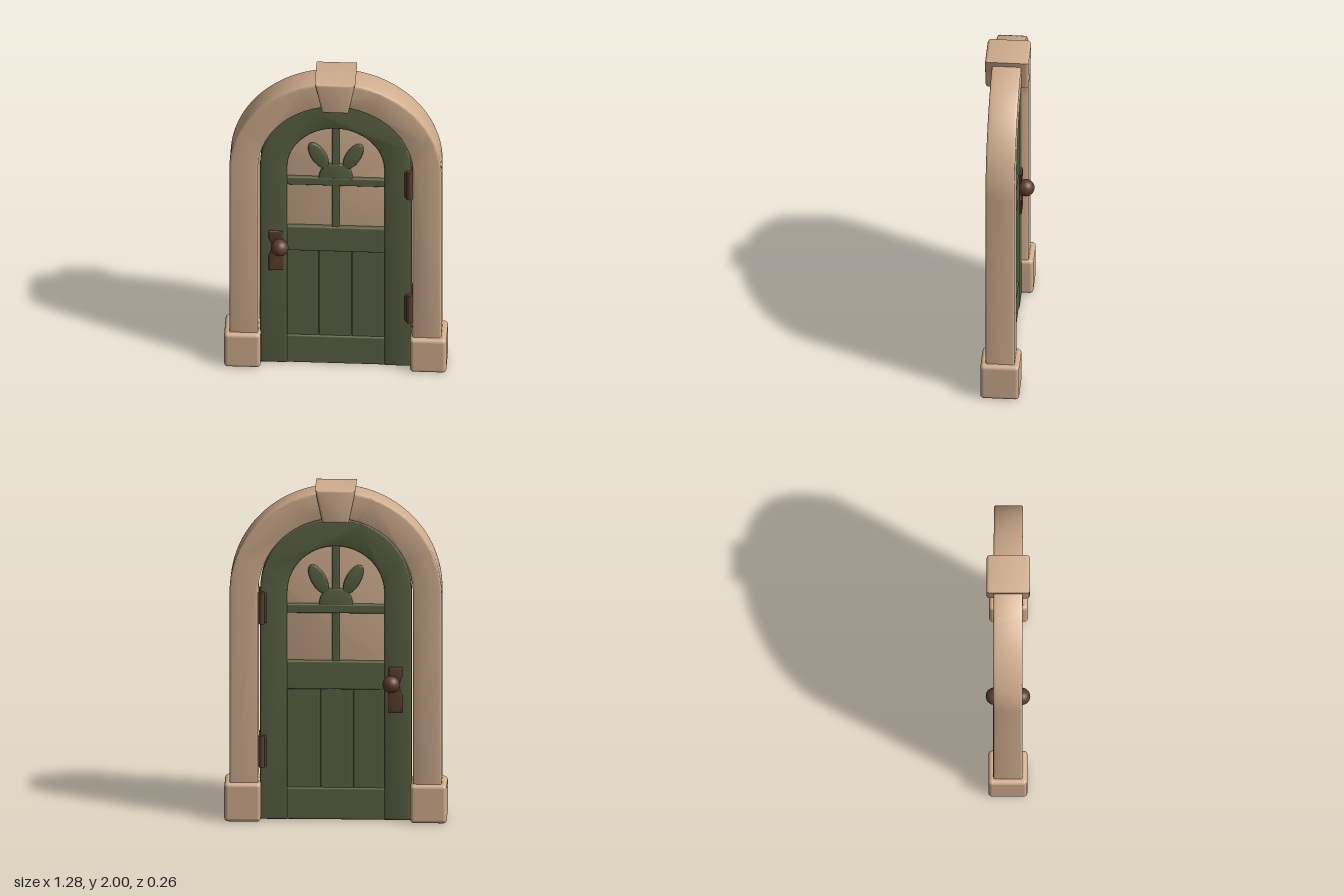
import * as THREE from 'three';
import { toCreasedNormals } from 'three/addons/utils/BufferGeometryUtils.js';
import { RoundedBoxGeometry } from 'three/addons/geometries/RoundedBoxGeometry.js';

const mat = (name, color) => {
  const m = new THREE.MeshStandardMaterial({ color });
  m.name = name;
  return m;
};

export function createModel() {
  const stone = mat('sandstone', 0xd0ad8e);
  const green = mat('green paint', 0x5a6243);
  const brown = mat('brown iron', 0x5c3d2e);
  const door = new THREE.Group();
  door.name = 'archedDoor';

  const add = (name, geometry, material, x = 0, y = 0, z = 0) => {
    const mesh = new THREE.Mesh(geometry, material);
    mesh.name = name;
    mesh.position.set(x, y, z);
    door.add(mesh);
    return mesh;
  };

  // Bevelled extrusion centred on z = 0 that keeps the drawn outline
  const slab = (shape, depth, bevel) => {
    const g = new THREE.ExtrudeGeometry(shape, {
      depth: depth - 2 * bevel, bevelThickness: bevel, bevelSize: bevel,
      bevelOffset: -bevel, bevelSegments: 3, curveSegments: 32,
    });
    g.translate(0, 0, -(depth / 2 - bevel));
    return toCreasedNormals(g, 0.6);
  };

  const box = (name, material, x0, x1, y0, y1, depth, r, z = 0) =>
    add(name, new RoundedBoxGeometry(x1 - x0, y1 - y0, depth, 3, r), material,
      (x0 + x1) / 2, (y0 + y1) / 2, z);

  // Upside-down U between an outer and an inner arch
  const archBand = (outer, inner, y0, outerY, innerY) => {
    const s = new THREE.Shape();
    s.moveTo(outer, y0);
    s.lineTo(outer, outerY);
    s.absarc(0, outerY, outer, 0, Math.PI, false);
    s.lineTo(-outer, y0);
    s.lineTo(-inner, y0);
    s.lineTo(-inner, innerY);
    s.absarc(0, innerY, inner, Math.PI, 0, true);
    s.lineTo(inner, y0);
    return s;
  };

  // Stone surround
  add('stoneArch', slab(archBand(0.61, 0.445, 0.05, 1.37, 1.37), 0.168, 0.012), stone);
  for (const side of [-1, 1]) {
    add('baseBlock', new RoundedBoxGeometry(0.21, 0.23, 0.224, 4, 0.022), stone, side * 0.535, 0.115, 0);
  }
  const key = new THREE.Shape([[-0.075, 1.8], [0.075, 1.8], [0.117, 2], [-0.117, 2]]
    .map(([x, y]) => new THREE.Vector2(x, y)));
  add('keystone', slab(key, 0.25, 0.018), stone);

  // Door leaf: arched stile, rails and recessed planks
  add('doorStile', slab(archBand(0.435, 0.28, 0, 1.375, 1.36), 0.09, 0.01), green);
  box('bottomRail', green, -0.285, 0.285, 0, 0.19, 0.08, 0.01);
  box('lockRail', green, -0.285, 0.285, 0.78, 0.95, 0.08, 0.01);
  const seams = [-0.285, -0.1, 0.09, 0.285];
  for (let i = 0; i < 3; i++) {
    box('plank', green, seams[i] + 0.002, seams[i + 1] - 0.002, 0.17, 0.8, 0.056, 0.009);
  }
  box('plankCore', green, -0.285, 0.285, 0.17, 0.8, 0.036, 0.002);

  // Window pane and glazing bars
  const pane = new THREE.Shape();
  pane.moveTo(-0.29, 0.93);
  pane.lineTo(0.29, 0.93);
  pane.lineTo(0.29, 1.36);
  pane.absarc(0, 1.36, 0.29, 0, Math.PI, false);
  add('windowPane', slab(pane, 0.03, 0.002), stone);
  box('windowCrossbar', green, -0.285, 0.285, 1.235, 1.29, 0.07, 0.01);
  box('windowBar', green, -0.022, 0.022, 0.94, 1.65, 0.062, 0.008);

  // Leaf ornament above the crossbar
  const bud = new THREE.Shape();
  bud.moveTo(-0.1, 1.26);
  bud.lineTo(0.1, 1.26);
  bud.quadraticCurveTo(0.1, 1.33, 0.065, 1.37);
  bud.quadraticCurveTo(0, 1.4, -0.065, 1.37);
  bud.quadraticCurveTo(-0.1, 1.33, -0.1, 1.26);
  add('ornamentBud', slab(bud, 0.066, 0.008), green);
  for (const side of [-1, 1]) {
    const leaf = new THREE.Shape();
    leaf.absellipse(0, 0, 0.043, 0.095, 0, Math.PI * 2, false, 0);
    const mesh = add('ornamentLeaf', slab(leaf, 0.066, 0.008), green, side * 0.1, 1.437, 0);
    mesh.rotation.z = -side * 0.5;
  }

  // Lock plate with a waist
  const plate = new THREE.Shape();
  plate.moveTo(-0.385, 0.65);
  plate.lineTo(-0.3, 0.65);
  plate.lineTo(-0.3, 0.75);
  plate.quadraticCurveTo(-0.33, 0.79, -0.305, 0.83);
  plate.lineTo(-0.305, 0.92);
  plate.lineTo(-0.385, 0.92);
  plate.lineTo(-0.385, 0.87);
  plate.quadraticCurveTo(-0.35, 0.81, -0.385, 0.75);
  add('lockPlate', slab(plate, 0.112, 0.006), brown);

  // Knobs and hinges on both faces
  for (const face of [-1, 1]) {
    const stem = add('knobStem', new THREE.CylinderGeometry(0.024, 0.03, 0.05, 20), brown, -0.32, 0.825, face * 0.06);
    stem.rotation.x = face * Math.PI / 2;
    add('doorKnob', new THREE.SphereGeometry(0.05, 28, 20), brown, -0.32, 0.825, face * 0.078);
    for (const y of [0.41, 1.27]) {
      box('hingeLeaf', brown, 0.398, 0.425, y - 0.09, y + 0.09, 0.02, 0.006, face * 0.045);
      add('hingePin', new THREE.CylinderGeometry(0.018, 0.018, 0.19, 16), brown, 0.426, y, face * 0.05);
    }
  }
  return door;
}
